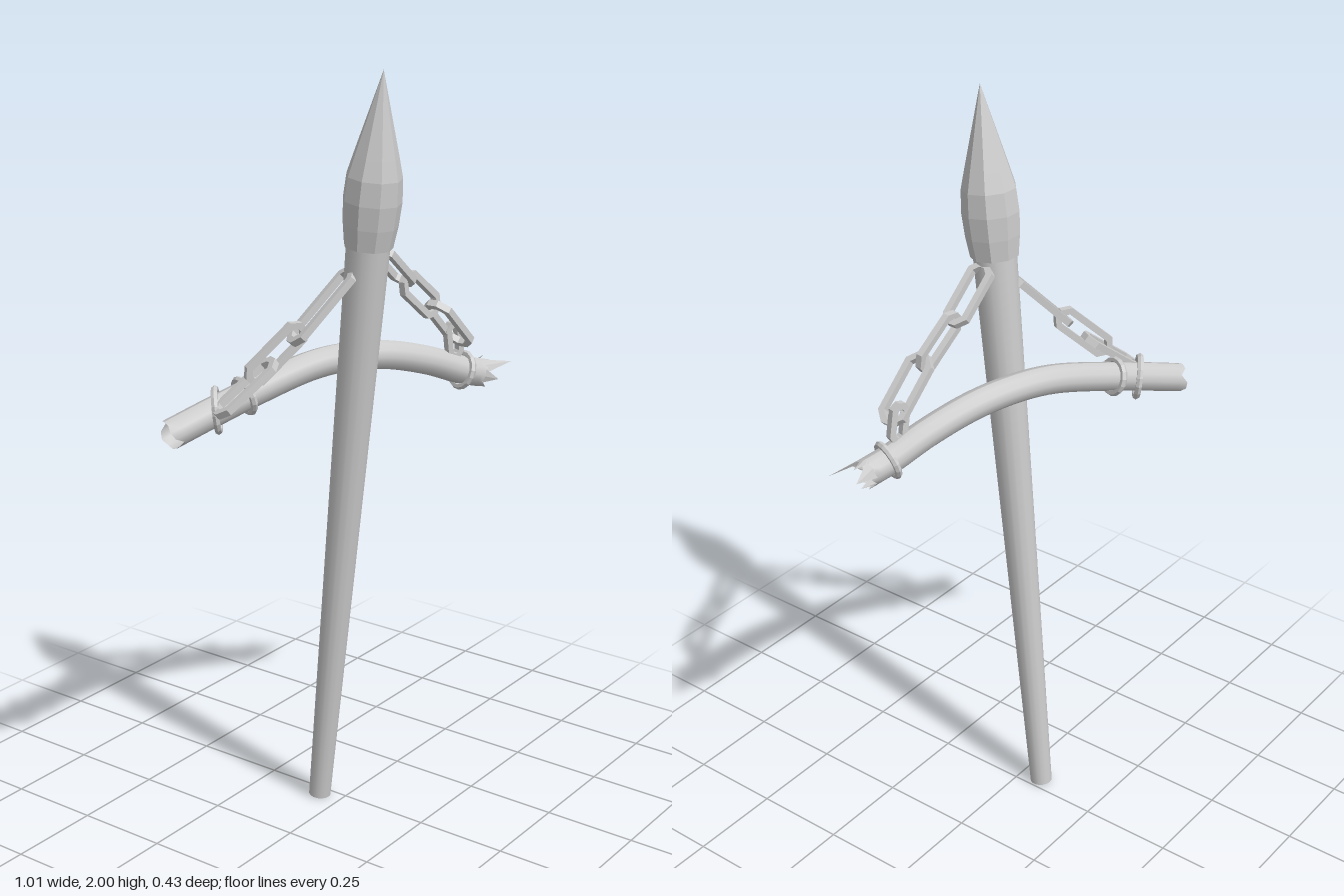
import * as THREE from 'three';

const V = (x, y, z) => new THREE.Vector3(x, y, z);

export function createModel() {
  const model = new THREE.Group();
  const smooth = new THREE.MeshStandardMaterial({ color: 0xcccccc, side: THREE.DoubleSide });
  const flat = new THREE.MeshStandardMaterial({ color: 0xcccccc, flatShading: true, side: THREE.DoubleSide });

  const add = (name, geometry, material, parent = model) => {
    const mesh = new THREE.Mesh(geometry, material);
    mesh.name = name;
    parent.add(mesh);
    return mesh;
  };

  // Leaning spear: tapered pole and pointed head share one axis
  const base = V(-0.032, 0.004, -0.065), tip = V(-0.065, 2, 0.158);
  const spear = new THREE.Group();
  spear.name = 'spear';
  spear.position.copy(base);
  spear.quaternion.setFromUnitVectors(V(0, 1, 0), tip.clone().sub(base).normalize());
  model.add(spear);
  const length = base.distanceTo(tip);
  const poleLength = 1.6;
  add('pole', new THREE.CylinderGeometry(0.056, 0.03, poleLength, 16), smooth, spear).position.y = poleLength / 2;
  const profile = [[0.05, 1.575], [0.062, 1.575], [0.07, 1.63], [0.074, 1.69], [0.07, 1.75], [0.057, 1.8], [0, length]];
  add('spearHead', new THREE.LatheGeometry(profile.map(([r, y]) => new THREE.Vector2(r, y)), 9), flat, spear);

  // Bowed hollow crossbar behind the pole
  const barZ = (x) => 0.365 * x - 0.002;
  const barPoints = [[-0.485, 1.14], [-0.36, 1.18], [-0.25, 1.213], [-0.1, 1.25], [0, 1.256], [0.12, 1.243],
    [0.25, 1.205], [0.35, 1.163], [0.41, 1.145]].map(([x, y]) => V(x, y, barZ(x)));
  const barPath = new THREE.CatmullRomCurve3(barPoints);
  const R = 0.038, around = 12, along = 40;
  const barGeometry = new THREE.TubeGeometry(barPath, along, R, around);
  // Chip both rims by sliding their vertices along the bar
  const position = barGeometry.attributes.position;
  for (const [ring, chips] of [[0, [0, 0.004, 0.022, 0, -0.006, 0]], [along, [0, 0.012, -0.012, 0.006, -0.006, 0.015]]]) {
    const dir = barPath.getTangentAt(ring / along);
    for (let j = 0; j <= around; j++) {
      const i = ring * (around + 1) + j, d = chips[j % 6];
      position.setXYZ(i, position.getX(i) + dir.x * d, position.getY(i) + dir.y * d, position.getZ(i) + dir.z * d);
    }
  }
  barGeometry.computeVertexNormals();
  add('crossbar', barGeometry, smooth);

  // Splinters at the broken end: triangles rising from the rim (angle 0 = front, 90 = up)
  const end = barPath.getPointAt(0.99), endDir = barPath.getTangentAt(1);
  const side = V(0, 1, 0).cross(endDir).negate().normalize();
  const up = side.clone().cross(endDir).normalize();
  if (up.y < 0) up.negate();
  const rim = (deg) => {
    const a = THREE.MathUtils.degToRad(deg);
    return end.clone().addScaledVector(side, R * Math.cos(a)).addScaledVector(up, R * Math.sin(a));
  };
  const splinters = [
    [10, 75, V(0.5, 1.163, 0.19)], [100, 180, V(0.495, 1.168, 0.105)],
    [-35, 25, V(0.4, 1.14, 0.212)], [60, 115, V(0.455, 1.172, 0.15)], [220, 300, V(0.43, 1.108, 0.15)],
  ];
  for (const [a, b, point] of splinters) {
    // a middle rim point keeps the splinter curved like the bar wall
    const g = new THREE.BufferGeometry().setFromPoints([rim(a), rim((a + b) / 2), point, rim((a + b) / 2), rim(b), point]);
    g.computeVertexNormals();
    add('splinter', g, flat);
  }

  // Iron rings around the bar
  const ring = (name, x, normal, radius) => {
    const t = (x + 0.485) / 0.895;
    const mesh = add(name, new THREE.TorusGeometry(radius, 0.009, 6, 16), flat);
    mesh.position.copy(barPath.getPointAt(t));
    mesh.quaternion.setFromUnitVectors(V(0, 0, 1), (normal || barPath.getTangentAt(t)).normalize());
    return mesh;
  };
  ring('rightBarRing', -0.28, null, 0.044);
  ring('rightSlantedRing', -0.355, V(0.6, 0.1, 0.8), 0.053);
  ring('leftBarRing', 0.352, null, 0.045);

  // Chain link: long octagon with a hole, from one point to another
  const octagon = (Shape, w, h, c) => new Shape([
    [-w, -h + c], [-w + c, -h], [w - c, -h], [w, -h + c], [w, h - c], [w - c, h], [-w + c, h], [-w, h - c],
  ].map(([x, y]) => new THREE.Vector2(x, y)));
  const link = (name, from, to, widthHint, halfWidth = 0.037) => {
    const h = from.distanceTo(to) / 2, bar = 0.017, depth = 0.018;
    const shape = octagon(THREE.Shape, halfWidth, h, halfWidth * 0.65);
    shape.holes.push(octagon(THREE.Path, halfWidth - bar, h - bar, (halfWidth - bar) * 0.65));
    const g = new THREE.ExtrudeGeometry(shape, { depth, bevelEnabled: false }).translate(0, 0, -depth / 2);
    const y = to.clone().sub(from).normalize();
    const z = widthHint.clone().cross(y).normalize();
    const x = y.clone().cross(z);
    const mesh = add(name, g, flat);
    mesh.quaternion.setFromRotationMatrix(new THREE.Matrix4().makeBasis(x, y, z));
    mesh.position.copy(from).add(to).multiplyScalar(0.5);
  };

  // Left chain
  const z = V(0, 0, 1);
  link('leftChainLink', V(-0.02, 1.56, 0.108), V(0.118, 1.442, 0.11), z);
  link('leftChainLink', V(0.088, 1.462, 0.115), V(0.218, 1.354, 0.13), V(1, 1, 0));
  link('leftChainLink', V(0.185, 1.382, 0.14), V(0.328, 1.243, 0.148), z, 0.041);
  link('leftChainShackle', V(0.305, 1.305, 0.122), V(0.325, 1.2, 0.122), V(1, 0.2, 0.3), 0.026);

  // Right chain
  const across = V(0.5, 0, -0.85);
  link('rightChainLink', V(-0.085, 1.515, 0.085), V(-0.235, 1.345, 0.005), across);
  link('rightChainLink', V(-0.195, 1.385, 0.015), V(-0.315, 1.255, -0.065), V(0.6, -0.8, 0.35), 0.033);
  link('rightChainLink', V(-0.26, 1.305, -0.025), V(-0.405, 1.185, -0.095), across);

  return model;
}
